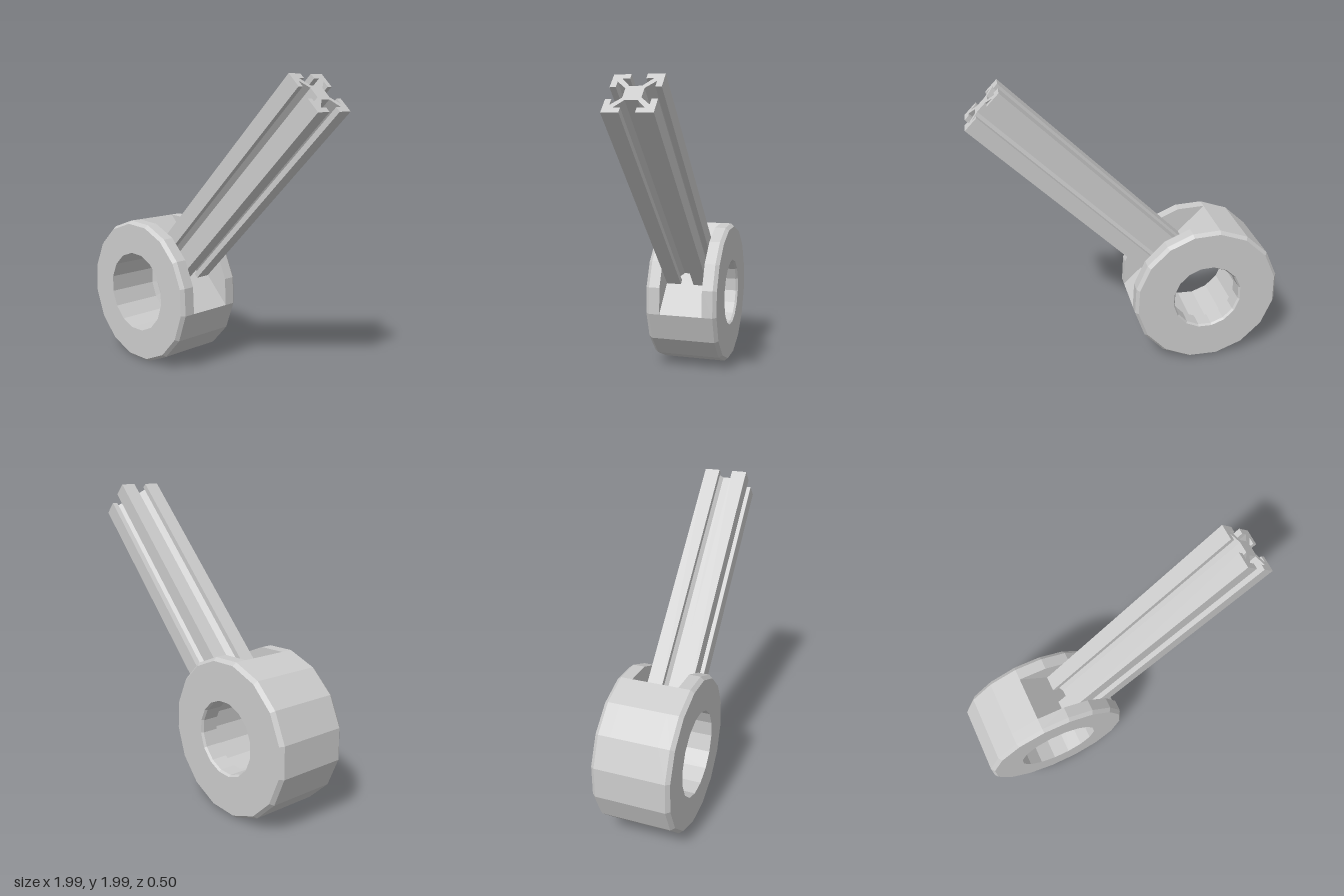
import * as THREE from 'three';

const CENTER = new THREE.Vector3(-0.495, 0.508, 0);
const R = 0.507, FLOOR = 0.305, TILT = Math.PI / 4;

const material = new THREE.MeshStandardMaterial({ color: 0xcccccc, flatShading: true });

// Thick ring with a stepped bore and a flat-floored notch where the bar sits
function ringGeometry() {
  const half = Math.acos(FLOOR / R);
  const angles = [];
  for (let i = 0; i < 5; i++) angles.push(-half + (2 * half * i) / 5);
  for (let i = 0; i < 11; i++) angles.push(half + ((2 * Math.PI - 2 * half) * i) / 11);

  // [radius, z, follows the notch floor]
  const profile = [
    [R - 0.02, 0.25], [R, 0.225], [R, 0.15], [R, 0.15, true],
    [R, -0.15, true], [R, -0.15], [R, -0.225], [R - 0.02, -0.25],
    [0.24, -0.25], [0.23, -0.235], [0.23, -0.13], [0.28, -0.12], [0.28, 0.25],
  ];
  const positions = [], index = [];
  const n = angles.length, m = profile.length;
  for (const [radius, z, notched] of profile) {
    for (const a of angles) {
      const c = Math.cos(a);
      const r = notched && c > 0 ? Math.min(radius, FLOOR / c) : radius;
      positions.push(r * Math.cos(a + TILT), r * Math.sin(a + TILT), z);
    }
  }
  for (let i = 0; i < m; i++) {
    for (let j = 0; j < n; j++) {
      const i2 = (i + 1) % m, j2 = (j + 1) % n;
      const a = i * n + j, b = i2 * n + j, c = i2 * n + j2, d = i * n + j2;
      index.push(a, b, d, b, c, d);
    }
  }
  const geometry = new THREE.BufferGeometry();
  geometry.setAttribute('position', new THREE.Float32BufferAttribute(positions, 3));
  geometry.setIndex(index);
  geometry.computeVertexNormals();
  return geometry;
}

// Square bar with an undercut slot along each of its four sides
function barGeometry(length) {
  const side = [
    [0.148, 0.148], [0.046, 0.148], [0.046, 0.112], [0.09, 0.112],
    [0.036, 0.054], [-0.036, 0.054], [-0.09, 0.112], [-0.046, 0.112], [-0.046, 0.148],
  ];
  const points = [];
  for (let k = 0; k < 4; k++) {
    for (const [x, y] of side) {
      points.push(new THREE.Vector2(x, y).rotateAround(new THREE.Vector2(), (k * Math.PI) / 2));
    }
  }
  return new THREE.ExtrudeGeometry(new THREE.Shape(points), { depth: length, bevelEnabled: false });
}

export function createModel() {
  const group = new THREE.Group();

  const ring = new THREE.Mesh(ringGeometry(), material);
  ring.name = 'ring';
  ring.position.copy(CENTER);
  group.add(ring);

  // Bar rises diagonally out of the notch
  const direction = new THREE.Vector3(1, 1, 0).normalize();
  const bar = new THREE.Mesh(barGeometry(1.66), material);
  bar.name = 'slottedBar';
  bar.position.copy(CENTER).addScaledVector(direction, FLOOR - 0.005);
  bar.lookAt(bar.position.clone().add(direction));
  group.add(bar);

  return group;
}
